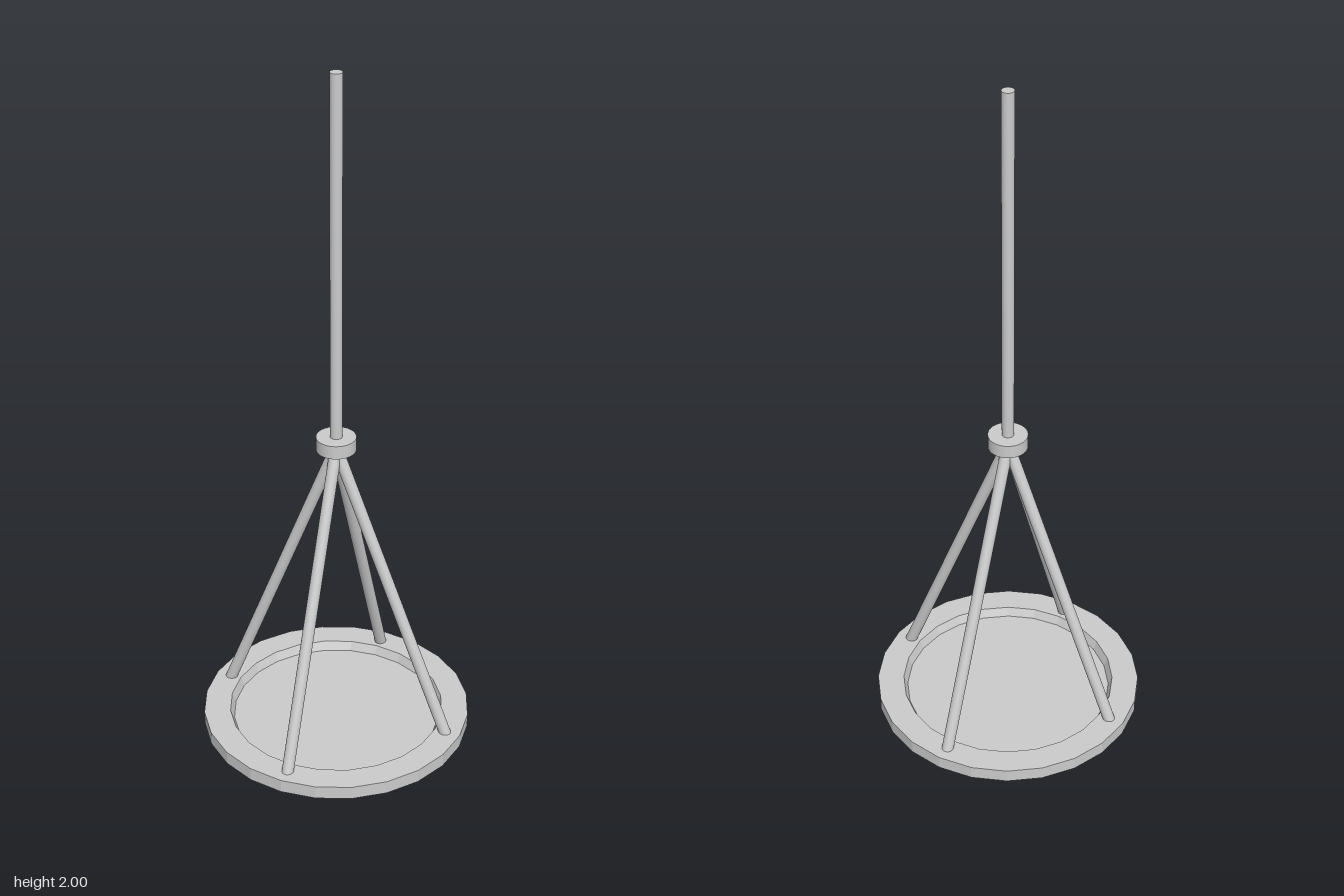
import * as THREE from 'three';

const smooth = new THREE.MeshStandardMaterial({ color: 0xcccccc });
const faceted = new THREE.MeshStandardMaterial({ color: 0xcccccc, flatShading: true });

// Capped round bar between two points
function rod(name, from, to, radius) {
  const dir = to.clone().sub(from);
  const mesh = new THREE.Mesh(new THREE.CylinderGeometry(radius, radius, dir.length(), 24), smooth);
  mesh.position.copy(from).add(to).multiplyScalar(0.5);
  mesh.quaternion.setFromUnitVectors(new THREE.Vector3(0, 1, 0), dir.normalize());
  mesh.name = name;
  return mesh;
}

export function createModel() {
  const group = new THREE.Group();
  group.name = 'hangingTray';

  // Round 24-sided tray with a raised rim and a sloped inner wall
  const profile = [[0, 0], [0.39, 0], [0.39, 0.04], [0.313, 0.04], [0.302, 0.013], [0, 0.013]]
    .map(([r, y]) => new THREE.Vector2(r, y));
  const tray = new THREE.Mesh(new THREE.LatheGeometry(profile, 24), faceted);
  tray.name = 'tray';
  group.add(tray);

  // Four struts rising from the rim to the collar
  for (let i = 0; i < 4; i++) {
    const a = (i * Math.PI) / 2;
    const at = (r, y) => new THREE.Vector3(r * Math.sin(a), y, r * Math.cos(a));
    group.add(rod('strut', at(0.351, 0.02), at(0, 0.915), 0.017));
  }

  // Collar joining the struts to the pole
  const collar = new THREE.Mesh(new THREE.CylinderGeometry(0.056, 0.056, 0.04, 32), smooth);
  collar.position.y = 0.93;
  collar.name = 'collar';
  group.add(collar);

  // Upright pole
  group.add(rod('pole', new THREE.Vector3(0, 0.92, 0), new THREE.Vector3(0, 2, 0), 0.017));

  return group;
}
